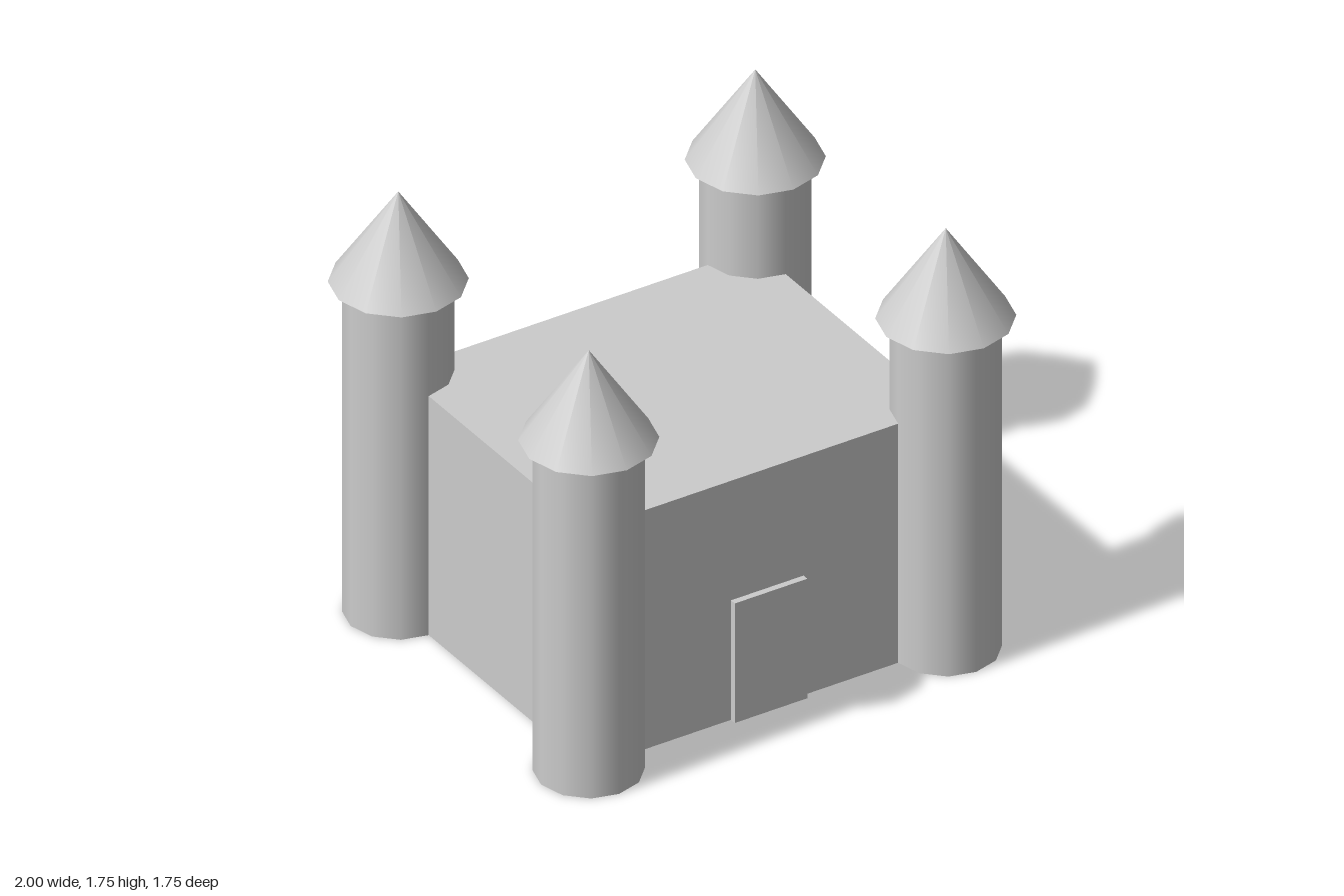
import * as THREE from 'three';

export function createModel() {
  const castle = new THREE.Group();
  castle.name = 'castle';
  const stone = new THREE.MeshStandardMaterial({ color: 0xcccccc });
  stone.name = 'stone grey';

  function add(parent, name, geometry, x, y, z) {
    const mesh = new THREE.Mesh(geometry, stone);
    mesh.name = name;
    mesh.position.set(x, y, z);
    parent.add(mesh);
  }

  // Main keep and the door slab standing proud of its front wall
  add(castle, 'keep', new THREE.BoxGeometry(1.5, 1, 1.25), 0, 0.5, 0);
  add(castle, 'door', new THREE.BoxGeometry(0.305, 0.5, 0.05), 0, 0.25, 0.625);

  // Four corner towers with overhanging conical roofs
  const sides = 12, towerHeight = 1.38, roofHeight = 0.37;
  const shaft = new THREE.CylinderGeometry(0.2, 0.2, towerHeight, sides);
  const roof = new THREE.ConeGeometry(0.25, roofHeight, sides);
  for (const [zName, z] of [['front', 0.625], ['back', -0.625]]) {
    for (const [xName, x] of [['Left', 0.75], ['Right', -0.75]]) {
      const tower = new THREE.Group();
      tower.name = `${zName}${xName}Tower`;
      tower.position.set(x, 0, z);
      add(tower, 'towerShaft', shaft, 0, towerHeight / 2, 0);
      add(tower, 'towerRoof', roof, 0, towerHeight + roofHeight / 2, 0);
      castle.add(tower);
    }
  }
  return castle;
}
